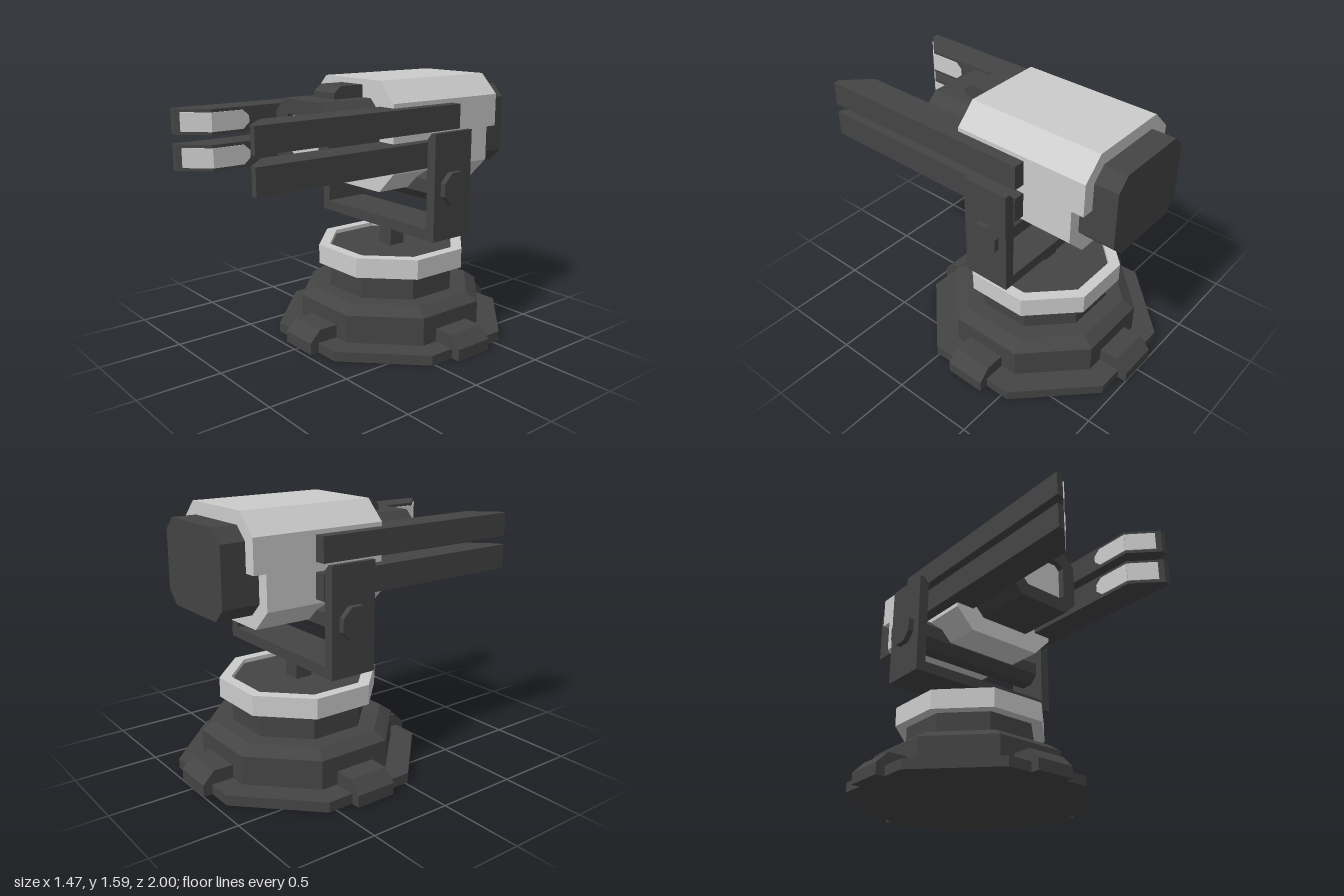
import * as THREE from 'three';

const PIVOT_Z = -0.265; // vertical axis of the base and yoke

export function createModel() {
  const model = new THREE.Group();
  model.name = 'twinRailTurret';
  const dark = new THREE.MeshStandardMaterial({ color: 0x444444 });
  dark.name = 'dark grey';
  const light = new THREE.MeshStandardMaterial({ color: 0xcccccc });
  light.name = 'light grey';

  const add = (name, geometry, material) => {
    const flat = geometry.index ? geometry.toNonIndexed() : geometry;
    flat.computeVertexNormals();
    const mesh = new THREE.Mesh(flat, material);
    mesh.name = name;
    model.add(mesh);
    return mesh;
  };
  const box = (x0, x1, y0, y1, z0, z1) =>
    new THREE.BoxGeometry(x1 - x0, y1 - y0, z1 - z0)
      .translate((x0 + x1) / 2, (y0 + y1) / 2, (z0 + z1) / 2);
  const shapeOf = (pts) => new THREE.Shape(pts.map(([a, b]) => new THREE.Vector2(a, b)));
  const extrude = (shape, depth) =>
    new THREE.ExtrudeGeometry(shape, { depth, bevelEnabled: false });

  // Outline in (x, y), running from z0 to z1
  const alongZ = (shape, z0, z1) => extrude(shape, z1 - z0).translate(0, 0, z0);
  // Outline in (x, z), running from y0 to y1
  const alongY = (pts, y0, y1) =>
    extrude(shapeOf(pts.map(([x, z]) => [x, -z])), y1 - y0).rotateX(-Math.PI / 2).translate(0, y0, 0);
  // Outline in (z, y), running from x0 to x1
  const alongX = (pts, x0, x1) =>
    extrude(shapeOf(pts), x1 - x0).rotateY(-Math.PI / 2).translate(x1, 0, 0);

  // Rectangle with cut corners
  const cutRect = (w, y0, y1, c) => [
    [-w + c, y0], [w - c, y0], [w, y0 + c], [w, y1 - c],
    [w - c, y1], [-w + c, y1], [-w, y1 - c], [-w, y0 + c],
  ];
  // Eight-sided turned solid; radii are measured to the flats
  const octLathe = (pts) => {
    const k = 1 / Math.cos(Math.PI / 8);
    return new THREE.LatheGeometry(
      pts.map(([r, y]) => new THREE.Vector2(r * k, y)), 8, Math.PI / 8
    ).translate(0, 0, PIVOT_Z);
  };

  // Stepped base
  add('basePlate', octLathe([[0, 0], [0.68, 0], [0.68, 0.06], [0, 0.06]]), dark);
  add('baseTier', octLathe([[0, 0.03], [0.545, 0.03], [0.545, 0.23], [0.475, 0.28], [0, 0.28]]), dark);
  add('baseNeck', octLathe([[0, 0.25], [0.375, 0.25], [0.375, 0.525], [0, 0.525]]), dark);
  add('baseCollar', octLathe([[0.375, 0.43], [0.44, 0.43], [0.44, 0.55], [0.375, 0.55], [0.375, 0.43]]), light);

  // Four feet around the base
  for (let i = 0; i < 4; i++) {
    const foot = alongX([[0.5, 0], [0.735, 0], [0.735, 0.07], [0.665, 0.14], [0.5, 0.14]], -0.125, 0.125);
    add('foot', foot.rotateY(i * Math.PI / 2).translate(0, 0, PIVOT_Z), dark);
  }

  // Post, yoke and axle
  add('post', box(-0.055, 0.055, 0.5, 0.68, -0.32, -0.21), dark);
  const yoke = [
    [-0.525, 0.67], [0.525, 0.67], [0.525, 1.3], [0.495, 1.3], [0.463, 1.265], [0.463, 0.735],
    [-0.463, 0.735], [-0.463, 1.265], [-0.495, 1.3], [-0.525, 1.3],
  ];
  add('yoke', alongZ(shapeOf(yoke), -0.41, -0.12), dark);
  const axle = new THREE.CylinderGeometry(0.095 / Math.cos(Math.PI / 8), 0.095 / Math.cos(Math.PI / 8), 1.12, 8)
    .rotateY(Math.PI / 8).rotateZ(Math.PI / 2).translate(0, 0.975, PIVOT_Z);
  add('axle', axle, dark);

  // Main body, with the upper half reaching further back
  add('body', alongZ(shapeOf(cutRect(0.37, 0.945, 1.585, 0.12)), -0.71, 0.055), light);
  const hood = [[-0.37, 1.27], [0.37, 1.27], [0.37, 1.465], [0.25, 1.585], [-0.25, 1.585], [-0.37, 1.465]];
  add('bodyHood', alongZ(shapeOf(hood), -0.785, -0.71), light);
  add('rearBlock', alongZ(shapeOf(cutRect(0.295, 1.02, 1.51, 0.075)), -0.93, -0.7), dark);

  // Front housing with a recessed lens
  const frame = shapeOf(cutRect(0.25, 1.055, 1.48, 0.08));
  frame.holes.push(new THREE.Path(
    cutRect(0.16, 1.14, 1.39, 0.03).reverse().map(([x, y]) => new THREE.Vector2(x, y))
  ));
  add('lensHousing', alongZ(frame, 0, 0.42), dark);
  add('lens', alongZ(shapeOf(cutRect(0.16, 1.14, 1.39, 0.03)), 0.372, 0.38), light);
  add('topSight', alongX([[0.0, 1.46], [0.26, 1.46], [0.26, 1.515], [0.21, 1.553], [0.0, 1.553]], -0.095, 0.095), dark);

  // Paired rails on each side, with pale plates at the inner tips
  const t = 0.005;
  for (const s of [1, -1]) {
    for (const [y0, y1] of [[1.295, 1.44], [1.09, 1.24]]) {
      const plan = [[0.25, -0.4], [0.44, -0.4], [0.44, 1], [0.4, 1], [0.25, 0.85]];
      add('rail', alongY(plan.map(([x, z]) => [s * x, z]), y0, y1), dark);

      const p0 = y0 + 0.018, p1 = y1 - 0.018;
      const tip = [[0.25, 0.85], [0.375, 0.975], [0.375 - t, 0.975 + t], [0.25 - t, 0.85 + t / 2]];
      add('railTipPlate', alongY(tip.map(([x, z]) => [s * x, z]), p0, p1), light);
      const side = [[0.85, p0], [0.85, p1], [0.65, p1], [0.61, p1 - 0.035], [0.61, p0 + 0.035], [0.65, p0]];
      const inner = s > 0 ? [0.25 - t, 0.25] : [-0.25, -0.25 + t];
      add('railInnerPlate', alongX(side, ...inner), light);
    }
  }
  return model;
}
